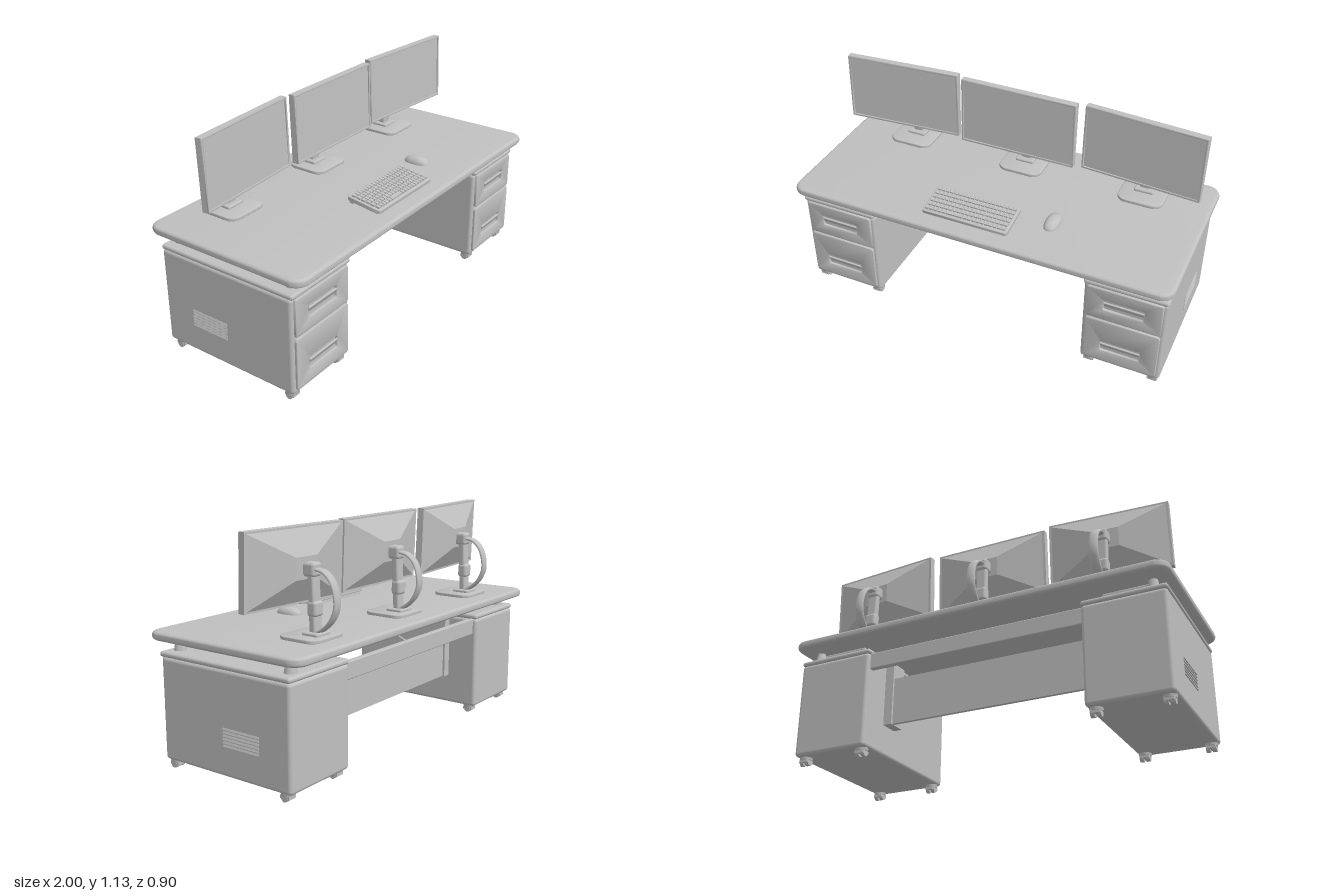
import * as THREE from 'three';
import { mergeGeometries, toCreasedNormals } from 'three/addons/utils/BufferGeometryUtils.js';
import { RoundedBoxGeometry } from 'three/addons/geometries/RoundedBoxGeometry.js';

const grey = new THREE.MeshStandardMaterial({ color: 0xc0c0c0 });
grey.name = 'plain grey';

function add(parent, name, geometry, x = 0, y = 0, z = 0) {
  const mesh = new THREE.Mesh(geometry, grey);
  mesh.name = name;
  mesh.position.set(x, y, z);
  parent.add(mesh);
  return mesh;
}

function group(parent, name, x = 0, y = 0, z = 0) {
  const g = new THREE.Group();
  g.name = name;
  g.position.set(x, y, z);
  parent.add(g);
  return g;
}

// Rounded rectangle centred on (cx, cy)
function roundRect(w, h, r, cx = 0, cy = 0, Type = THREE.Shape) {
  const s = new Type(), a = w / 2 - r, b = h / 2 - r;
  s.absarc(cx + a, cy + b, r, 0, Math.PI / 2);
  s.absarc(cx - a, cy + b, r, Math.PI / 2, Math.PI);
  s.absarc(cx - a, cy - b, r, Math.PI, Math.PI * 1.5);
  s.absarc(cx + a, cy - b, r, Math.PI * 1.5, Math.PI * 2);
  s.closePath();
  return s;
}

// Plate of thickness t with bevelled rim, lying in xy and centred on z = 0
function plate(w, h, t, r, bevel, hole) {
  const s = roundRect(w - 2 * bevel, h - 2 * bevel, r);
  if (hole) s.holes.push(hole);
  const g = new THREE.ExtrudeGeometry(s, {
    depth: t - 2 * bevel, bevelEnabled: bevel > 0, bevelSize: bevel,
    bevelThickness: bevel, bevelSegments: 4, curveSegments: 8,
  });
  g.translate(0, 0, -t / 2 + bevel);
  return toCreasedNormals(g, 0.7);
}

const slab = (...args) => plate(...args).rotateX(-Math.PI / 2);

function buildCaster(parent, x, z) {
  const c = group(parent, 'caster', x, 0, z);
  add(c, 'casterPlate', new THREE.CylinderGeometry(0.033, 0.03, 0.016, 16), 0, 0.036, 0);
  for (const s of [-1, 1]) {
    const wheel = new THREE.CylinderGeometry(0.018, 0.018, 0.02, 16).rotateZ(Math.PI / 2);
    add(c, 'casterWheel', wheel, s * 0.015, 0.018, 0);
  }
  add(c, 'casterAxle', new THREE.BoxGeometry(0.045, 0.016, 0.05), 0, 0.022, 0);
}

function buildDrawer(parent, y, h, slotY) {
  const d = group(parent, 'drawer', 0, y, 0.381);
  add(d, 'drawerFront', plate(0.372, h, 0.022, 0.008, 0.005,
    roundRect(0.21, 0.07, 0.012, 0, slotY, THREE.Path)));
  // Slanted finger pull inside the recess
  const pull = add(d, 'drawerPull', new RoundedBoxGeometry(0.2, 0.034, 0.01, 2, 0.004), 0, slotY + 0.004, 0.004);
  pull.rotation.x = 0.45;
}

function buildCabinet(parent, side) {
  const c = group(parent, side > 0 ? 'leftCabinet' : 'rightCabinet', side * 0.772, 0, 0);
  add(c, 'cabinetBody', new RoundedBoxGeometry(0.408, 0.492, 0.765, 3, 0.018), 0, 0.286, -0.003);
  add(c, 'cabinetTop', new RoundedBoxGeometry(0.412, 0.026, 0.775, 3, 0.012), 0, 0.543, 0.002);
  buildDrawer(c, 0.433, 0.19, 0.0);
  buildDrawer(c, 0.196, 0.265, -0.03);
  // Vent louvres on the outer wall
  for (let i = 0; i < 6; i++) {
    const slat = add(c, 'ventSlat', new THREE.BoxGeometry(0.006, 0.01, 0.21), side * 0.204, 0.187 + i * 0.0155, -0.105);
    slat.rotation.z = side * 0.4;
  }
  for (const x of [-0.165, 0.165]) for (const z of [-0.335, 0.34]) buildCaster(c, x, z);
  // Rail and standoffs that carry the desktop
  add(c, 'supportRail', new RoundedBoxGeometry(0.25, 0.038, 0.62, 2, 0.008), 0, 0.59, 0);
  for (const z of [-0.33, 0.33]) {
    add(c, 'standoff', new THREE.CylinderGeometry(0.02, 0.03, 0.06, 16), side * 0.13, 0.582, z);
  }
}

function buildMonitor(parent, name, x, yaw) {
  const m = group(parent, name, x, 0, 0);
  // Stand
  add(m, 'standBase', slab(0.235, 0.215, 0.018, 0.045, 0.005), 0, 0.655, -0.238);
  add(m, 'standFoot', new RoundedBoxGeometry(0.1, 0.02, 0.09, 2, 0.008), 0, 0.668, -0.265);
  const neck = add(m, 'standNeck', new RoundedBoxGeometry(0.056, 0.31, 0.034, 2, 0.01), 0, 0.815, -0.257);
  neck.rotation.x = 0.04;
  add(m, 'neckCollar', new RoundedBoxGeometry(0.064, 0.07, 0.05, 3, 0.014), 0, 0.78, -0.261);
  add(m, 'neckHead', new RoundedBoxGeometry(0.064, 0.065, 0.065, 3, 0.015), 0, 0.952, -0.245);
  // Flat cable loop behind the stand
  const pts = [[0.275, 0.953], [0.315, 0.945], [0.355, 0.91], [0.378, 0.85], [0.379, 0.79], [0.35, 0.73], [0.305, 0.69], [0.265, 0.672]];
  const curve = new THREE.CatmullRomCurve3(pts.map(([z, y]) => new THREE.Vector3(0, y, -z)));
  const loop = new THREE.TubeGeometry(curve, 32, 0.0095, 10).scale(2.6, 1, 1);
  add(m, 'cableLoop', loop);
  // Screen housing
  const screen = group(m, 'screen', 0, 0.96, -0.12);
  screen.rotation.set(-0.035, yaw, 0, 'YXZ');
  add(screen, 'screenBody', new THREE.BoxGeometry(0.612, 0.35, 0.03), 0, 0, -0.021);
  add(screen, 'bezel', plate(0.612, 0.35, 0.008, 0.002, 0.001, roundRect(0.594, 0.332, 0.002, 0, 0, THREE.Path)), 0, 0, -0.004);
  const back = new THREE.BoxGeometry(0.6, 0.338, 0.068);
  const p = back.attributes.position;
  for (let i = 0; i < p.count; i++) {
    if (p.getZ(i) < 0) p.setXYZ(i, p.getX(i) * 0.22, p.getY(i) * 0.3, p.getZ(i));
  }
  back.computeVertexNormals();
  add(screen, 'taperedBack', back, 0, 0, -0.068);
}

function buildKeyboard(parent) {
  const k = group(parent, 'keyboard', -0.068, 0.668, 0.265);
  k.rotation.x = 0.14;
  add(k, 'keyboardBase', slab(0.455, 0.19, 0.022, 0.01, 0.004));
  const keys = [];
  for (let row = 0; row < 6; row++) {
    for (let col = 0; col < 19; col++) {
      if (row === 5 && col > 4 && col < 9) continue;
      keys.push(new THREE.BoxGeometry(0.018, 0.012, 0.021)
        .translate((col - 9) * 0.0228, 0.014, (row - 2.5) * 0.0275));
    }
  }
  keys.push(new THREE.BoxGeometry(0.086, 0.012, 0.021).translate(-2.5 * 0.0228, 0.014, 2.5 * 0.0275));
  add(k, 'keys', mergeGeometries(keys));
  add(k, 'keyboardRiser', new THREE.BoxGeometry(0.43, 0.025, 0.02), 0, -0.014, -0.075);
}

export function createModel() {
  const desk = new THREE.Group();
  desk.name = 'desk';

  // Desktop
  add(desk, 'desktop', slab(2, 0.9, 0.042, 0.05, 0.019), 0, 0.627, 0);

  // Cabinets
  for (const side of [-1, 1]) buildCabinet(desk, side);

  // Panels between the cabinets
  add(desk, 'rearRail', new RoundedBoxGeometry(1.16, 0.085, 0.03, 2, 0.006), 0, 0.49, -0.35);
  add(desk, 'modestyPanel', new THREE.BoxGeometry(1.06, 0.245, 0.018), 0, 0.322, -0.2);
  for (const side of [-1, 1]) {
    add(desk, 'panelBracket', new THREE.BoxGeometry(0.05, 0.33, 0.1), side * 0.547, 0.362, -0.17);
  }

  // Cable under the desktop
  const cable = new THREE.LineCurve3(new THREE.Vector3(-0.245, 0.61, 0.27), new THREE.Vector3(-0.245, 0.425, -0.19));
  add(desk, 'cable', new THREE.TubeGeometry(cable, 4, 0.006, 8));

  // Monitors
  buildMonitor(desk, 'rightMonitor', -0.643, 0.075);
  buildMonitor(desk, 'middleMonitor', 0.0, 0);
  buildMonitor(desk, 'leftMonitor', 0.65, -0.075);

  buildKeyboard(desk);

  // Mouse
  const dome = new THREE.SphereGeometry(1, 24, 10, 0, Math.PI * 2, 0, Math.PI / 2);
  const mp = dome.attributes.position;
  for (let i = 0; i < mp.count; i++) {
    const px = mp.getX(i), pz = mp.getZ(i);
    mp.setX(i, Math.sign(px) * Math.abs(px) ** 0.8);
    mp.setZ(i, Math.sign(pz) * Math.abs(pz) ** 0.85);
  }
  dome.scale(0.038, 0.034, 0.07);
  dome.computeVertexNormals();
  add(desk, 'mouse', dome, 0.322, 0.647, 0.17);

  return desk;
}
